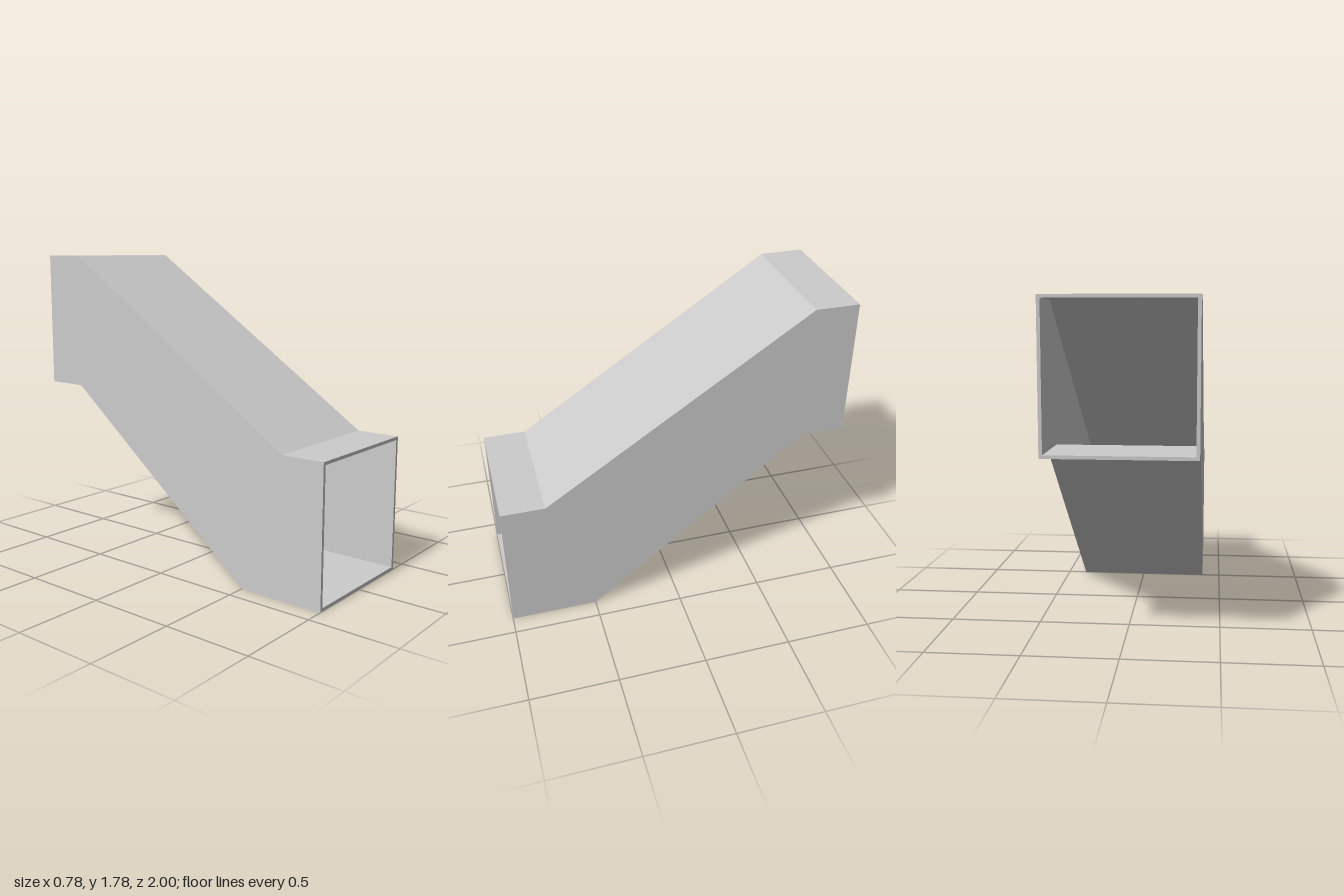
import * as THREE from 'three';

const HALF = 0.39;   // half width of the passage
const WALL = 0.018;  // shell thickness
const STEPS = 9;

// Extrude a side profile of [z, y] points across the width, from x0 to x1
function slab(name, profile, x0, x1, material) {
  const shape = new THREE.Shape(profile.map(([z, y]) => new THREE.Vector2(-z, y)));
  const geometry = new THREE.ExtrudeGeometry(shape, { depth: x1 - x0, bevelEnabled: false });
  geometry.rotateY(Math.PI / 2);
  geometry.translate(x0, 0, 0);
  const mesh = new THREE.Mesh(geometry, material);
  mesh.name = name;
  return mesh;
}

export function createModel() {
  const group = new THREE.Group();
  group.name = 'coveredStairway';
  const material = new THREE.MeshStandardMaterial({ color: 0xcccccc, flatShading: true });

  // Side outlines: underside and roof line, front to back
  const underside = [[1, 0], [0.5, 0], [-0.75, 1], [-1, 1]];
  const roofLine = [[1, 0.785], [0.75, 0.785], [-0.75, 1.785], [-1, 1.785]];
  const inner = HALF - WALL;

  // Side walls
  const outline = [...underside, ...[...roofLine].reverse()];
  group.add(slab('leftWall', outline, inner, HALF, material));
  group.add(slab('rightWall', outline, -HALF, -inner, material));

  // Roof, same thickness measured vertically
  const ceiling = roofLine.map(([z, y]) => [z, y - WALL]).reverse();
  group.add(slab('roof', [...roofLine, ...ceiling], -inner, inner, material));

  // Floor with steps from the lower landing to the upper landing
  const run = 1.25 / STEPS, rise = 1 / STEPS;
  const treads = [[1, WALL]];
  for (let i = 0; i < STEPS; i++) {
    const z = 0.5 - i * run;
    treads.push([z, WALL + i * rise], [z, WALL + (i + 1) * rise]);
  }
  treads.push([-1, 1 + WALL]);
  group.add(slab('stairs', [...underside, ...treads.reverse()], -inner, inner, material));

  return group;
}
